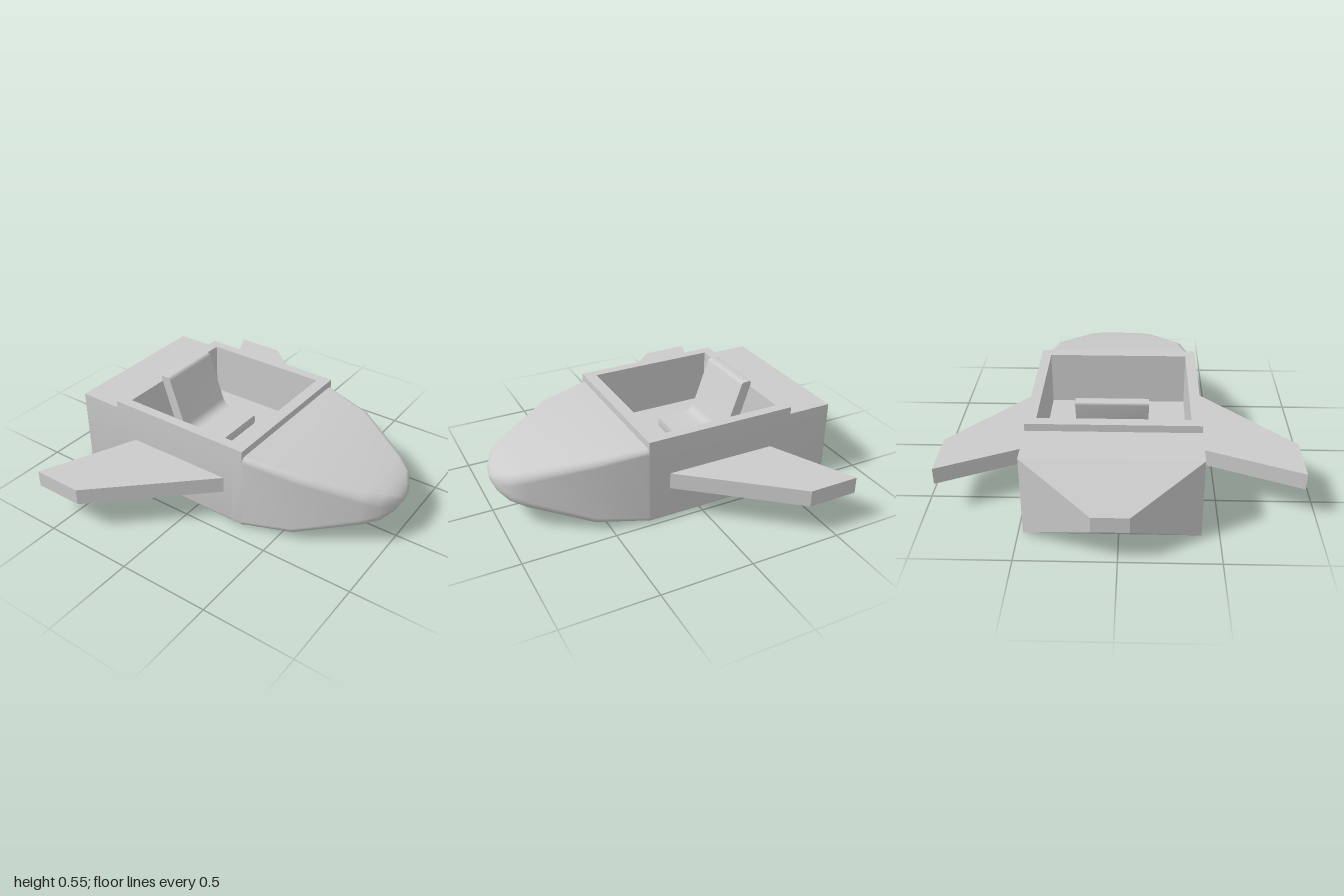
import * as THREE from 'three';
import { toCreasedNormals } from 'three/addons/utils/BufferGeometryUtils.js';

const material = new THREE.MeshStandardMaterial({ color: 0xcccccc });
const MID = -0.033; // hull centre line in z
const HALF = 0.443; // hull half width
const DECK = 0.44, FLOOR = 0.18;

function add(group, name, geometry) {
  const mesh = new THREE.Mesh(geometry, material);
  mesh.name = name;
  group.add(mesh);
  return mesh;
}

function extrude(shape, depth) {
  const g = new THREE.ExtrudeGeometry(shape, { depth, bevelEnabled: false, curveSegments: 6 });
  return toCreasedNormals(g, 0.6);
}

function polygon(points) {
  return new THREE.Shape(points.map(([x, y]) => new THREE.Vector2(x, y)));
}

// Hull cross-section with rounded bilges, optionally hollowed out for the cockpit
function hullSection(hollow) {
  const r = 0.03, w = 0.388;
  const s = new THREE.Shape();
  s.moveTo(-HALF + r, 0);
  s.lineTo(HALF - r, 0);
  s.quadraticCurveTo(HALF, 0, HALF, r);
  s.lineTo(HALF, DECK);
  if (hollow) {
    s.lineTo(w, DECK);
    s.lineTo(w, FLOOR);
    s.lineTo(-w, FLOOR);
    s.lineTo(-w, DECK);
  }
  s.lineTo(-HALF, DECK);
  s.lineTo(-HALF, r);
  s.quadraticCurveTo(-HALF, 0, -HALF + r, 0);
  return s;
}

// Smooth nose: rounded rectangles [x, half width, bottom, top, corner radius] joined along x
function noseGeometry() {
  const rings = [
    [0.3, HALF, 0, DECK, 0.03],
    [0.57, 0.385, 0.035, 0.41, 0.04],
    [0.87, 0.228, 0.12, 0.33, 0.05],
    [0.945, 0.172, 0.148, 0.302, 0.05],
    [0.985, 0.1, 0.18, 0.27, 0.042],
    [1, 0.03, 0.21, 0.24, 0.014],
  ];
  const steps = 4, n = 4 * (steps + 1);
  const pos = [], index = [];
  for (const [x, w, y0, y1, r] of rings) {
    for (let c = 0; c < 4; c++) {
      const sz = c === 0 || c === 3 ? 1 : -1, sy = c < 2 ? 1 : -1;
      for (let k = 0; k <= steps; k++) {
        const a = (c + k / steps) * Math.PI / 2;
        pos.push(x,
          (sy > 0 ? y1 - r : y0 + r) + r * Math.sin(a),
          MID + sz * (w - r) + r * Math.cos(a));
      }
    }
  }
  for (let i = 0; i < rings.length - 1; i++) {
    for (let j = 0; j < n; j++) {
      const a = i * n + j, b = i * n + (j + 1) % n;
      index.push(a, a + n, b, b, a + n, b + n);
    }
  }
  // tip
  const tip = pos.length / 3, last = (rings.length - 1) * n;
  pos.push(1, 0.225, MID);
  for (let j = 0; j < n; j++) index.push(last + j, tip, last + (j + 1) % n);
  const g = new THREE.BufferGeometry();
  g.setAttribute('position', new THREE.Float32BufferAttribute(pos, 3));
  g.setIndex(index);
  g.computeVertexNormals();
  return g;
}

// Blunt tapered tail
function tailGeometry() {
  const g = new THREE.BoxGeometry(0.21, DECK, 2 * HALF).toNonIndexed();
  const p = g.attributes.position;
  for (let i = 0; i < p.count; i++) {
    if (p.getX(i) < 0) {
      p.setY(i, Math.sign(p.getY(i)) * 0.042);
      p.setZ(i, Math.sign(p.getZ(i)) * 0.092);
    }
  }
  g.computeVertexNormals();
  return g;
}

export function createModel() {
  const model = new THREE.Group();
  model.name = 'spacecraft';

  // Hull in three lengths: solid stern, cockpit tub, solid bulkhead
  for (const [name, x0, x1, hollow] of [
    ['sternHull', -0.79, -0.48, false],
    ['cockpitTub', -0.48, 0.235, true],
    ['frontBulkhead', 0.235, 0.3, false],
  ]) {
    const g = extrude(hullSection(hollow), x1 - x0).rotateY(Math.PI / 2);
    add(model, name, g).position.set(x0, 0, MID);
  }

  add(model, 'nose', noseGeometry());
  add(model, 'tail', tailGeometry()).position.set(-0.895, DECK / 2, MID);

  // Raised rim around the cockpit opening
  const rim = polygon([[-0.54, -HALF], [0.3, -HALF], [0.3, HALF], [-0.54, HALF]]);
  rim.holes.push(polygon([[-0.48, -0.388], [-0.48, 0.388], [0.235, 0.388], [0.235, -0.388]]));
  add(model, 'cockpitRim', extrude(rim, 0.04).rotateX(-Math.PI / 2)).position.set(0, DECK, MID);

  // Swept wings, outlines in x and z
  for (const [name, root, end] of [['leftSideWing', -0.47, -0.935], ['rightSideWing', 0.405, 0.93]]) {
    const pts = [[-0.42, -root], [0.19, -root], [-0.365, -end], [-0.64, -end]];
    add(model, name, extrude(polygon(pts), 0.09).rotateX(-Math.PI / 2)).position.y = 0.18;
  }

  // Seat: reclined back curving into the cushion
  const seat = new THREE.Shape();
  seat.moveTo(-0.06, FLOOR);
  seat.quadraticCurveTo(-0.055, 0.205, -0.06, 0.235);
  seat.lineTo(-0.23, 0.235);
  seat.quadraticCurveTo(-0.275, 0.235, -0.29, 0.275);
  seat.lineTo(-0.38, 0.53);
  seat.quadraticCurveTo(-0.386, 0.55, -0.4, 0.55);
  seat.lineTo(-0.43, 0.55);
  seat.quadraticCurveTo(-0.443, 0.55, -0.44, 0.532);
  seat.lineTo(-0.34, 0.23);
  seat.quadraticCurveTo(-0.325, FLOOR, -0.28, FLOOR);
  add(model, 'seat', extrude(seat, 0.37)).position.z = -0.228;

  return model;
}
